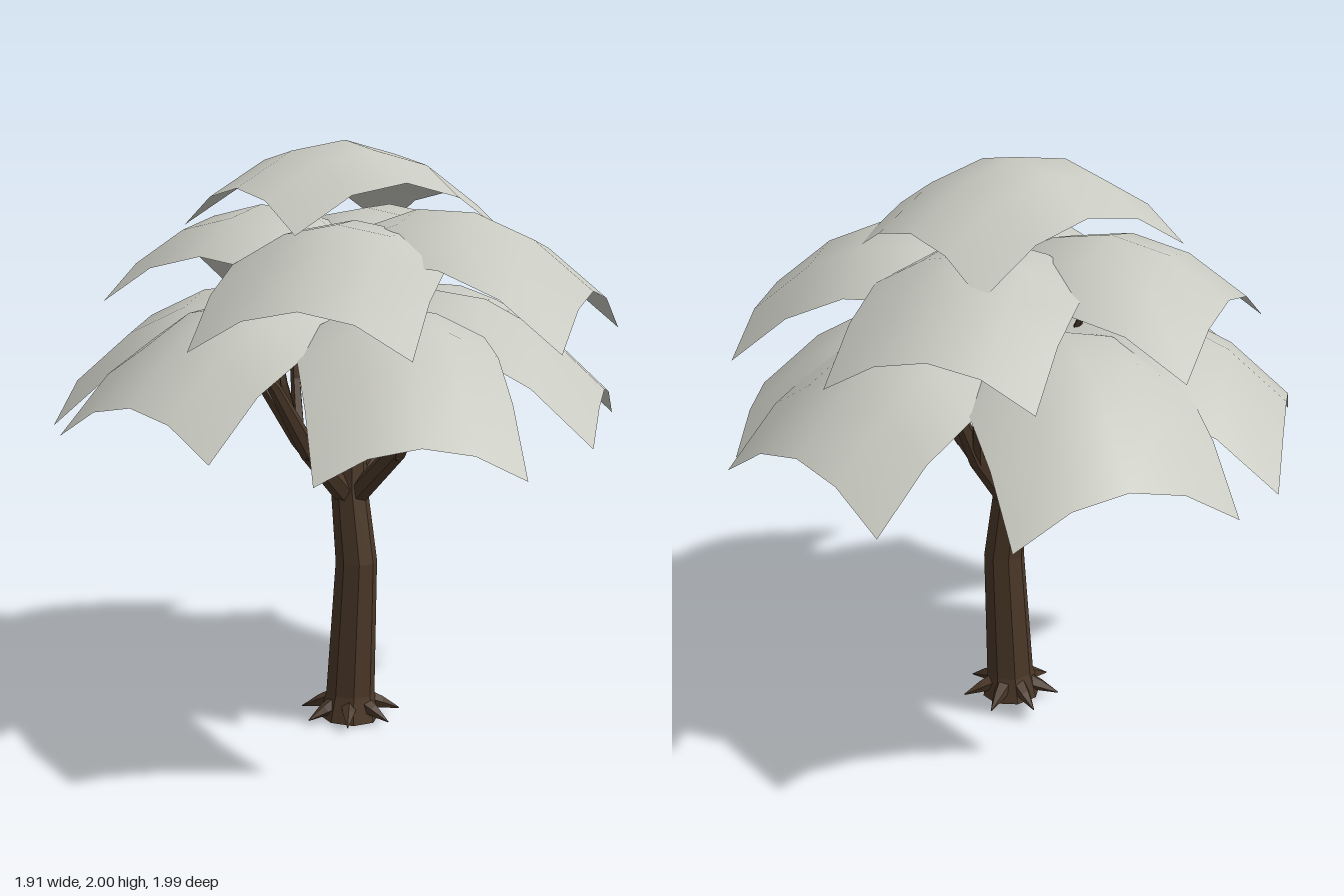
import * as THREE from 'three';

const bark = new THREE.MeshStandardMaterial({ color: 0x4b3828, flatShading: true });
bark.name = 'brown bark';
const leaf = new THREE.MeshStandardMaterial({ color: 0xc8c9c0, side: THREE.DoubleSide });
leaf.name = 'pale grey leaf';

// Tapered faceted limb through rows of [x, y, z, radius], closed at both ends.
function limb(rows, sides) {
  const pts = rows.map(r => new THREE.Vector3(r[0], r[1], r[2]));
  const pos = [], idx = [], n = rows.length;
  pts.forEach((p, i) => {
    const dir = pts[Math.min(i + 1, n - 1)].clone().sub(pts[Math.max(i - 1, 0)]).normalize();
    const w = dir.clone().cross(new THREE.Vector3(1, 0, 0.13)).normalize();
    const u = w.clone().cross(dir);
    for (let j = 0; j < sides; j++) {
      const a = (j / sides) * Math.PI * 2;
      const q = p.clone()
        .addScaledVector(u, Math.cos(a) * rows[i][3])
        .addScaledVector(w, Math.sin(a) * rows[i][3]);
      pos.push(q.x, q.y, q.z);
      if (i < n - 1) {
        const k = i * sides + j, k2 = i * sides + (j + 1) % sides;
        idx.push(k, k2, k + sides, k2, k2 + sides, k + sides);
      }
    }
  });
  const top = (n - 1) * sides;
  for (let j = 1; j < sides - 1; j++) {
    idx.push(0, j + 1, j, top, top + j, top + j + 1);
  }
  const g = new THREE.BufferGeometry();
  g.setAttribute('position', new THREE.Float32BufferAttribute(pos, 3));
  g.setIndex(idx);
  g.computeVertexNormals();
  return g;
}

// Domed leaf sheet: outer edge from A to B (x, z), peak height, distance from
// the outer edge to the peak, and length inward.
function sheet([ax, az, bx, bz, peak, depth, length]) {
  const g = new THREE.PlaneGeometry(1, 1, 4, 4).rotateX(-Math.PI / 2);
  const width = Math.hypot(bx - ax, bz - az);
  const ex = (bx - ax) / width, ez = (bz - az) / width;
  const p = g.attributes.position;
  for (let i = 0; i < p.count; i++) {
    const u = p.getX(i) * width;
    const v = (0.5 - p.getZ(i)) * length;
    p.setXYZ(i,
      (ax + bx) / 2 + ex * u + ez * v,
      peak - 1.08 * u * u - 0.95 * (v - depth) ** 2,
      (az + bz) / 2 + ez * u - ex * v);
  }
  g.computeVertexNormals();
  return g;
}

export function createModel() {
  const model = new THREE.Group();
  model.name = 'tree';
  const add = (name, geometry, material) => {
    const m = new THREE.Mesh(geometry, material);
    m.name = name;
    model.add(m);
  };

  // Trunk, bending slightly and running up into the crown
  add('trunk', limb([
    [0.05, 0, 0.015, 0.105], [0.055, 0.09, 0.015, 0.085], [0.075, 0.56, 0.01, 0.072],
    [0.045, 0.8, 0.005, 0.064], [0.04, 1.1, 0, 0.05], [0.03, 1.42, 0, 0.036],
  ], 8), bark);

  // Pointed roots around the foot
  for (let i = 0; i < 7; i++) {
    const a = (i / 7) * Math.PI * 2 + 0.2, c = Math.cos(a), s = Math.sin(a);
    add('root', limb([
      [0.05 + c * 0.05, 0.06, 0.01 + s * 0.05, 0.034],
      [0.05 + c * 0.11, 0.04, 0.01 + s * 0.11, 0.022],
      [0.05 + c * 0.175, 0.015, 0.01 + s * 0.175, 0.002],
    ], 5), bark);
  }

  // Main limbs: elbow, mid and tip points, each with two forks
  const limbs = [
    [[-0.14, 0.97, 0.03], [-0.3, 1.2, 0.06], [-0.42, 1.36, 0.08]],
    [[0.25, 0.97, 0.04], [0.38, 1.2, 0.08], [0.5, 1.33, 0.08]],
    [[0.0, 0.97, 0.2], [-0.04, 1.2, 0.35], [-0.05, 1.3, 0.45]],
    [[0.1, 0.97, -0.14], [0.14, 1.2, -0.24], [0.16, 1.36, -0.36]],
    [[-0.06, 0.98, -0.13], [-0.16, 1.2, -0.24], [-0.24, 1.38, -0.32]],
  ];
  for (const [elbow, mid, tip] of limbs) {
    add('branch', limb([
      [0.05, 0.77, 0.005, 0.04], [...elbow, 0.034], [...mid, 0.022], [...tip, 0.006],
    ].map(r => r.flat()), 6), bark);
    const [x, y, z] = elbow;
    for (const side of [-1, 1]) {
      const sx = -z * side * 0.45, sz = x * side * 0.45;
      const high = side > 0 ? 0.12 : 0;
      add('twig', limb([
        [x, y - 0.02, z, 0.024],
        [x * 1.25 + sx, y + 0.2, z * 1.25 + sz, 0.018],
        [x * 1.4 + sx * 1.2, y + 0.36 + high, z * 1.4 + sz * 1.2, 0.014],
        [x * 1.7 + sx * 1.4, y + 0.48 + high, z * 1.7 + sz * 1.4, 0.004],
      ], 5), bark);
    }
  }

  // Leaf sheets in three tiers
  const tiers = {
    topLeaf: [[-0.49, 0.2, 0.14, 0.51, 1.99, 0.4, 0.84]],
    middleLeaf: [
      [-0.72, -0.4, -0.72, 0.36, 1.77, 0.42, 0.8],
      [-0.1, 0.75, 0.59, 0.59, 1.74, 0.51, 0.8],
      [0.9, 0.21, 0.79, -0.55, 1.77, 0.52, 0.8],
      [0.28, -0.82, -0.39, -0.76, 1.77, 0.49, 0.8],
    ],
    lowerLeaf: [
      [-0.96, -0.18, -0.77, 0.58, 1.5, 0.55, 0.8],
      [-0.53, 0.84, 0.14, 0.99, 1.5, 0.56, 0.8],
      [0.46, 0.94, 0.95, 0.56, 1.48, 0.6, 0.8],
      [0.95, 0.06, 0.75, -0.62, 1.5, 0.58, 0.8],
      [0.7, -0.74, 0.01, -1.0, 1.5, 0.56, 0.8],
      [-0.39, -0.92, -0.91, -0.42, 1.5, 0.57, 0.8],
    ],
  };
  for (const [name, rows] of Object.entries(tiers)) {
    for (const row of rows) add(name, sheet(row), leaf);
  }
  return model;
}
